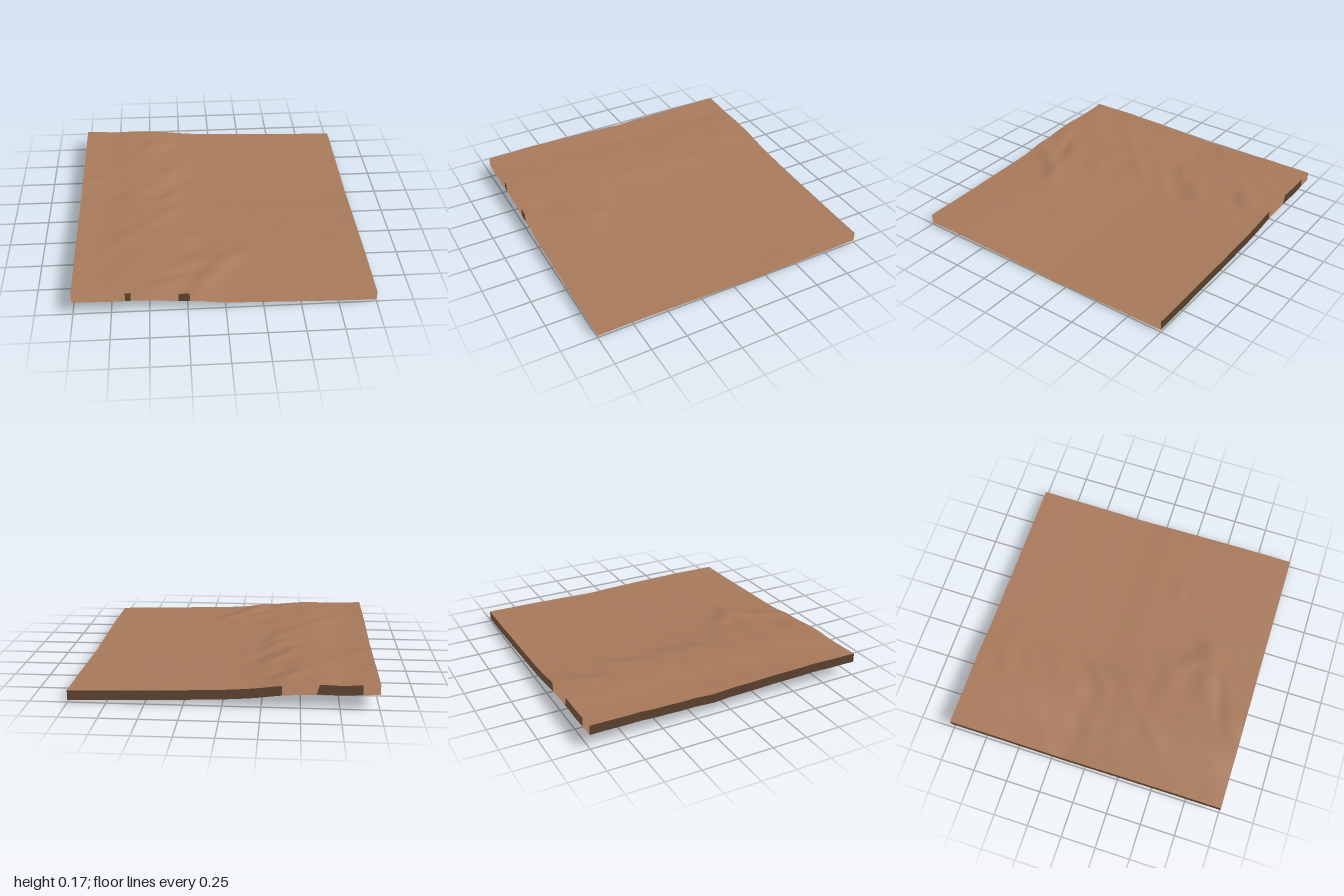
import * as THREE from 'three';

const SKIRT = 0.065;
const SEGMENTS = 112;

// Height across the sheet: high ground on the -x side, plain on the +x side
const slope = [[-1, 0.169], [-0.8, 0.158], [-0.6, 0.159], [-0.4, 0.146], [-0.2, 0.124], [0, 0.11],
  [0.2, 0.102], [0.4, 0.096], [0.6, 0.089], [0.8, 0.084], [1, 0.08]];

// Slow sag from back to front
const sag = [[-1, 0.002], [-0.65, -0.002], [-0.4, -0.008], [-0.12, -0.014], [0, -0.009],
  [0.2, -0.004], [0.6, 0.003], [0.8, 0.003], [1, 0]];

// Ridges and gullies: x, z, height, half length, half width, heading in degrees
const folds = [
  [-0.44, -0.80, 0.009, 0.13, 0.06, 40], [-0.36, -0.71, -0.006, 0.12, 0.05, 40],
  [-0.62, -0.62, 0.005, 0.16, 0.06, 50], [-0.36, -0.40, 0.009, 0.15, 0.06, 48],
  [-0.25, -0.30, -0.005, 0.13, 0.05, 52], [-0.46, -0.22, 0.008, 0.10, 0.05, 40],
  [-0.33, -0.10, 0.008, 0.12, 0.05, 45], [-0.88, -0.33, 0.005, 0.12, 0.05, 35],
  [-0.72, -0.15, -0.005, 0.16, 0.06, 45], [-0.34, 0.10, 0.008, 0.13, 0.06, 50],
  [-0.50, 0.27, 0.006, 0.13, 0.05, 45], [-0.66, 0.42, 0.006, 0.15, 0.06, 50],
  [-0.22, 0.42, 0.009, 0.13, 0.08, 25], [-0.02, 0.52, 0.010, 0.09, 0.06, -50],
  [0.06, 0.64, 0.017, 0.13, 0.07, 35], [-0.16, 0.66, 0.014, 0.16, 0.07, 20],
  [-0.10, 0.82, 0.016, 0.17, 0.07, 55], [-0.30, 0.80, -0.007, 0.14, 0.04, 20],
  [-0.40, 0.92, 0.008, 0.16, 0.07, 25], [-0.20, 1.00, 0.008, 0.13, 0.08, 40],
  [-0.72, 0.90, 0.005, 0.16, 0.07, 50], [0.49, 0.27, 0.004, 0.06, 0.04, 30],
].map(([x, z, h, l, w, deg]) => {
  const a = THREE.MathUtils.degToRad(deg);
  return { x, z, h, l, w, c: Math.cos(a), s: -Math.sin(a) };
});

// Smooth interpolation through a list of [position, value] points
function sample(points, t) {
  let i = 0;
  while (i < points.length - 2 && t > points[i + 1][0]) i++;
  const at = k => points[THREE.MathUtils.clamp(k, 0, points.length - 1)];
  const [p0, p1, p2, p3] = [at(i - 1), at(i), at(i + 1), at(i + 2)];
  const d = p2[0] - p1[0], u = (t - p1[0]) / d;
  const m1 = (p2[1] - p0[1]) / (p2[0] - p0[0]) * d;
  const m2 = (p3[1] - p1[1]) / (p3[0] - p1[0]) * d;
  return p1[1] * (1 + 2 * u) * (1 - u) ** 2 + m1 * u * (1 - u) ** 2
    + p2[1] * u * u * (3 - 2 * u) + m2 * u * u * (u - 1);
}

function height(x, z) {
  let y = sample(slope, x) + sample(sag, z);
  for (const f of folds) {
    const dx = x - f.x, dz = z - f.z;
    const along = (dx * f.c + dz * f.s) / f.l;
    const across = (dz * f.c - dx * f.s) / f.w;
    y += f.h * Math.exp(-along * along - across * across);
  }
  // Fine diagonal ripples, strongest on the high ground
  const rough = 1 - THREE.MathUtils.smoothstep(x, -0.4, 0.1);
  const ripple = Math.sin(14 * x + 17 * z + 2 * Math.sin(5 * x - 4 * z)) * Math.sin(6 * x - 7 * z);
  return y + ripple * (0.0004 + 0.0016 * rough);
}

export function createModel() {
  const group = new THREE.Group();
  group.name = 'terrain';
  const earth = new THREE.MeshStandardMaterial({ color: 0xa97a5b, side: THREE.DoubleSide });
  earth.name = 'brown earth';

  // Open sheet of ground; the outermost ring of the grid folds straight down as a skirt
  const geometry = new THREE.PlaneGeometry(2, 2, SEGMENTS, SEGMENTS);
  const { position, normal } = geometry.attributes;
  const n = new THREE.Vector3();
  const e = 0.005;
  const toEdge = k => THREE.MathUtils.clamp((k - 1) / (SEGMENTS - 2), 0, 1) * 2 - 1;
  let lowest = Infinity;
  for (let i = 0; i < position.count; i++) {
    const col = i % (SEGMENTS + 1), row = Math.floor(i / (SEGMENTS + 1));
    const x = toEdge(col), z = toEdge(row);
    const onSkirt = col === 0 || row === 0 || col === SEGMENTS || row === SEGMENTS;
    const y = height(x, z) - (onSkirt ? SKIRT : 0);
    position.setXYZ(i, x, y, z);
    lowest = Math.min(lowest, y);
    // The skirt keeps the ground's normals, so the rim shades without a break
    n.set(height(x - e, z) - height(x + e, z), 2 * e, height(x, z - e) - height(x, z + e)).normalize();
    normal.setXYZ(i, n.x, n.y, n.z);
  }
  geometry.translate(0, -lowest, 0);

  const ground = new THREE.Mesh(geometry, earth);
  ground.name = 'groundWithSkirt';
  group.add(ground);
  return group;
}
